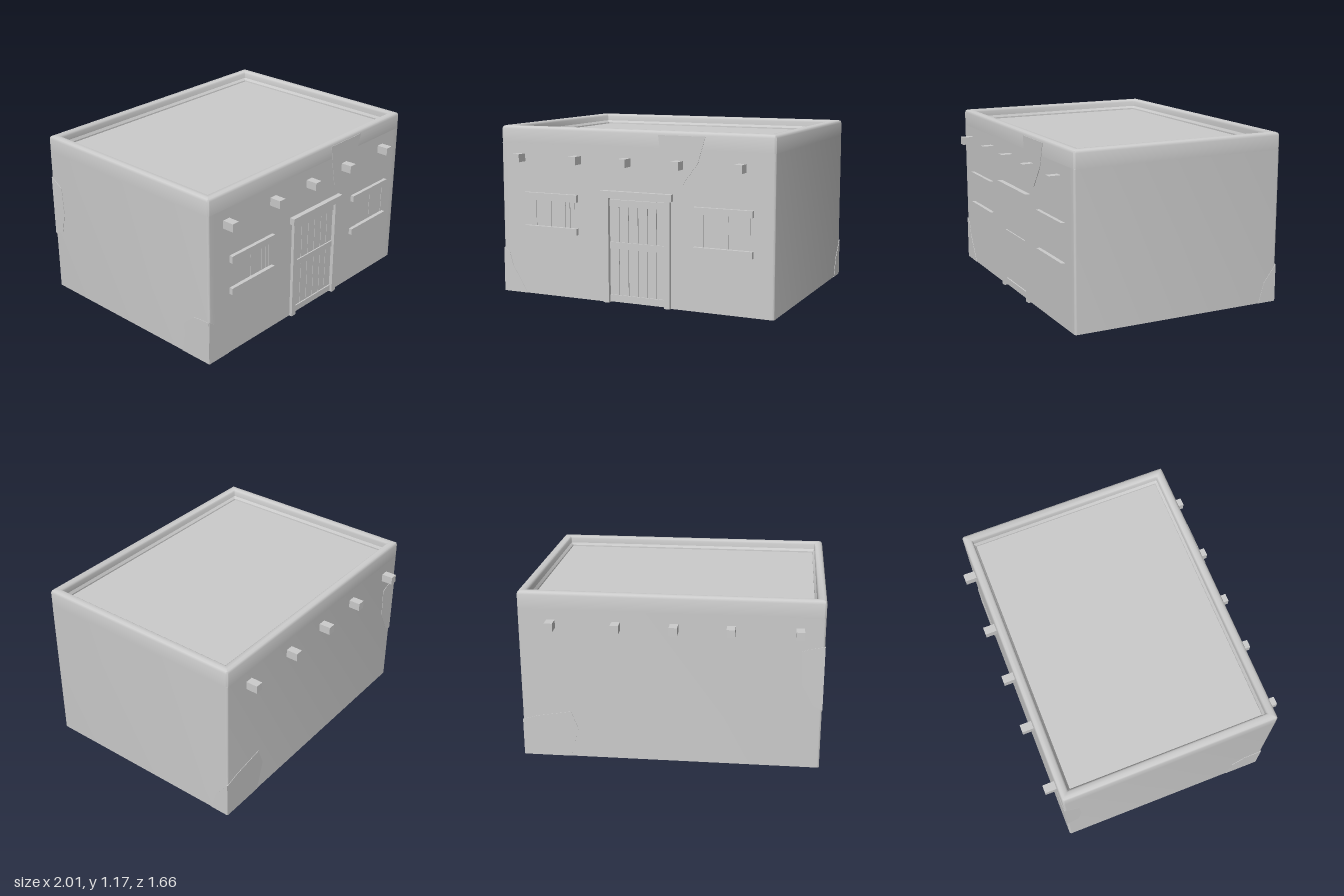
import * as THREE from 'three';
import { toCreasedNormals } from 'three/addons/utils/BufferGeometryUtils.js';

const W = 1, D = 0.75, T = 0.04, WALL_H = 1.05, R = 0.015;

export function createModel() {
  const house = new THREE.Group();
  house.name = 'adobeHouse';
  const mat = new THREE.MeshStandardMaterial({ color: 0xcccccc });

  const add = (name, geo, parent = house) => {
    const mesh = new THREE.Mesh(geo, mat);
    mesh.name = name;
    parent.add(mesh);
    return mesh;
  };
  // box given by its limits on each axis
  const box = (name, x0, x1, y0, y1, z0, z1, parent) => add(name,
    new THREE.BoxGeometry(x1 - x0, y1 - y0, z1 - z0)
      .translate((x0 + x1) / 2, (y0 + y1) / 2, (z0 + z1) / 2), parent);
  const rectPoints = (x0, x1, y0, y1) =>
    [[x0, y0], [x1, y0], [x1, y1], [x0, y1]].map(p => new THREE.Vector2(...p));

  // Side and back walls: one U-shaped plan with softened corners
  const plan = new THREE.Shape();
  plan.moveTo(-0.94, -D);
  plan.lineTo(-W + R, -D);
  plan.quadraticCurveTo(-W, -D, -W, -D + R);
  plan.lineTo(-W, D - R);
  plan.quadraticCurveTo(-W, D, -W + R, D);
  plan.lineTo(W - R, D);
  plan.quadraticCurveTo(W, D, W, D - R);
  plan.lineTo(W, -D + R);
  plan.quadraticCurveTo(W, -D, W - R, -D);
  plan.lineTo(0.94, -D);
  plan.lineTo(0.94, -D + T);
  plan.lineTo(W - T, -D + T);
  plan.lineTo(W - T, D - T);
  plan.lineTo(-W + T, D - T);
  plan.lineTo(-W + T, -D + T);
  plan.lineTo(-0.94, -D + T);
  const wallGeo = new THREE.ExtrudeGeometry(plan, { depth: WALL_H, bevelEnabled: false, curveSegments: 4 });
  add('sideAndBackWalls', toCreasedNormals(wallGeo.rotateX(-Math.PI / 2), 0.6));

  // Front wall with a doorway notch and two window openings
  const windows = [
    { x0: -0.81, x1: -0.40, open: [-0.73, -0.43], low: [0.44, 0.485], high: [0.665, 0.715], seams: [-0.61, -0.5, -0.465] },
    { x0: 0.455, x1: 0.86, open: [0.52, 0.84], low: [0.385, 0.43], high: [0.645, 0.69], seams: [0.69] },
  ];
  const front = new THREE.Shape([[-0.94, 0], [-0.16, 0], [-0.16, 0.715], [0.25, 0.715], [0.25, 0],
    [0.94, 0], [0.94, WALL_H], [-0.94, WALL_H]].map(p => new THREE.Vector2(...p)));
  for (const w of windows) {
    front.holes.push(new THREE.Path(rectPoints(...w.open, w.low[1], w.high[0])));
  }
  add('frontWall', new THREE.ExtrudeGeometry(front, { depth: T, bevelEnabled: false }).translate(0, 0, D - T));

  // Parapet: a rounded profile (inset, height) swept round the rectangle
  const profile = [[0, 1.05], [0, 1.145], [0.006, 1.16], [0.02, 1.167], [0.045, 1.167],
    [0.055, 1.16], [0.06, 1.148], [0.06, 1.115], [0.074, 1.1], [0.074, 1.05]];
  const corners = [[1, 1, 0], [-1, 1, 1], [-1, -1, 2], [1, -1, 3]];
  const STEPS = 4, ring = corners.length * (STEPS + 1);
  const pos = [], idx = [];
  for (const [inset, y] of profile) {
    const r = Math.max(R - inset, 0.004);
    for (const [sx, sz, q] of corners) {
      for (let i = 0; i <= STEPS; i++) {
        const a = (q + i / STEPS) * Math.PI / 2;
        pos.push(sx * (W - inset - r) + Math.cos(a) * r, y, sz * (D - inset - r) + Math.sin(a) * r);
      }
    }
  }
  for (let j = 0; j < profile.length - 1; j++) {
    for (let i = 0; i < ring; i++) {
      const n = (i + 1) % ring, a = j * ring + i, b = j * ring + n;
      idx.push(a, a + ring, b, b, a + ring, b + ring);
    }
  }
  const parapet = new THREE.BufferGeometry();
  parapet.setAttribute('position', new THREE.Float32BufferAttribute(pos, 3));
  parapet.setIndex(idx);
  add('parapet', toCreasedNormals(parapet, 0.8));

  box('roof', -0.96, 0.96, 1.05, 1.09, -0.71, 0.71);

  // Roof beam ends, front and back
  for (const x of [-0.84, -0.4, -0.03, 0.35, 0.78]) {
    for (const s of [-1, 1]) {
      box('roofBeam', x - 0.0275, x + 0.0275, 0.925, 0.98, s * 0.775 - 0.055, s * 0.775 + 0.055);
    }
  }

  // A row of upright boards separated by narrow gaps
  const boards = (name, edges, y0, y1, z0, z1, parent) => {
    for (let i = 0; i < edges.length - 1; i++) {
      box(name, edges[i] + 0.002, edges[i + 1] - 0.002, y0, y1, z0, z1, parent);
    }
  };

  // Windows: lintel, sill, jamb and boarded shutter
  for (const w of windows) {
    const g = new THREE.Group();
    g.name = 'window';
    house.add(g);
    box('lintel', w.x0, w.x1, ...w.high, 0.69, 0.775, g);
    box('sill', w.x0, w.x1, ...w.low, 0.69, 0.775, g);
    box('shutterBack', ...w.open, w.low[1], w.high[0], 0.733, 0.741, g);
    boards('shutterBoard', [w.open[0], ...w.seams, w.open[1]], w.low[1], w.high[0], 0.738, 0.748, g);
  }

  // Door: frame, boards and cross rails
  const door = new THREE.Group();
  door.name = 'door';
  house.add(door);
  box('doorLintel', -0.22, 0.305, 0.713, 0.76, 0.69, 0.785, door);
  box('doorJamb', -0.20, -0.16, 0, 0.713, 0.69, 0.772, door);
  box('doorJamb', 0.25, 0.29, 0, 0.713, 0.69, 0.772, door);
  box('doorBack', -0.16, 0.25, 0.005, 0.713, 0.73, 0.739, door);
  boards('doorBoard', [-0.16, -0.09, -0.02, 0.05, 0.12, 0.185, 0.25], 0.005, 0.7, 0.736, 0.748, door);
  for (const [y0, y1] of [[0.01, 0.055], [0.37, 0.415], [0.655, 0.7]]) {
    box('doorRail', -0.155, 0.245, y0, y1, 0.74, 0.757, door);
  }

  // Thin worn plaster patches; points lie on the wall as seen facing it
  const patch = (points, turn, distance) => {
    const shape = new THREE.Shape(points.map(p => new THREE.Vector2(...p)));
    const geo = new THREE.ExtrudeGeometry(shape, { depth: 0.013, bevelEnabled: false });
    add('plasterPatch', geo.translate(0, 0, distance - 0.01).rotateY(turn));
  };
  const H = Math.PI / 2;
  patch([[-1, 0], [-0.815, 0], [-0.93, 0.19], [-0.955, 0.28], [-1, 0.31]], 0, D);
  patch([[0.2, 1.14], [0.22, 1], [0.25, 0.84], [0.37, 0.82], [0.48, 0.97], [0.53, 1.14]], 0, D);
  patch([[0.75, 0], [0.51, 0], [0.53, 0.12], [0.53, 0.22], [0.62, 0.3], [0.75, 0.31]], -H, W);
  patch([[1, 0.42], [0.94, 0.45], [0.86, 0.6], [0.85, 0.82], [0.9, 0.84], [1, 0.86]], 2 * H, D);
  patch([[-0.75, 0.42], [-0.67, 0.46], [-0.64, 0.6], [-0.65, 0.8], [-0.75, 0.86]], -H, W);
  patch([[-1, 0], [-0.68, 0], [-0.62, 0.2], [-0.67, 0.33], [-0.9, 0.29], [-1, 0.26]], 2 * H, D);
  patch([[0.75, 0], [0.62, 0], [0.66, 0.14], [0.75, 0.26]], H, W);

  return house;
}
